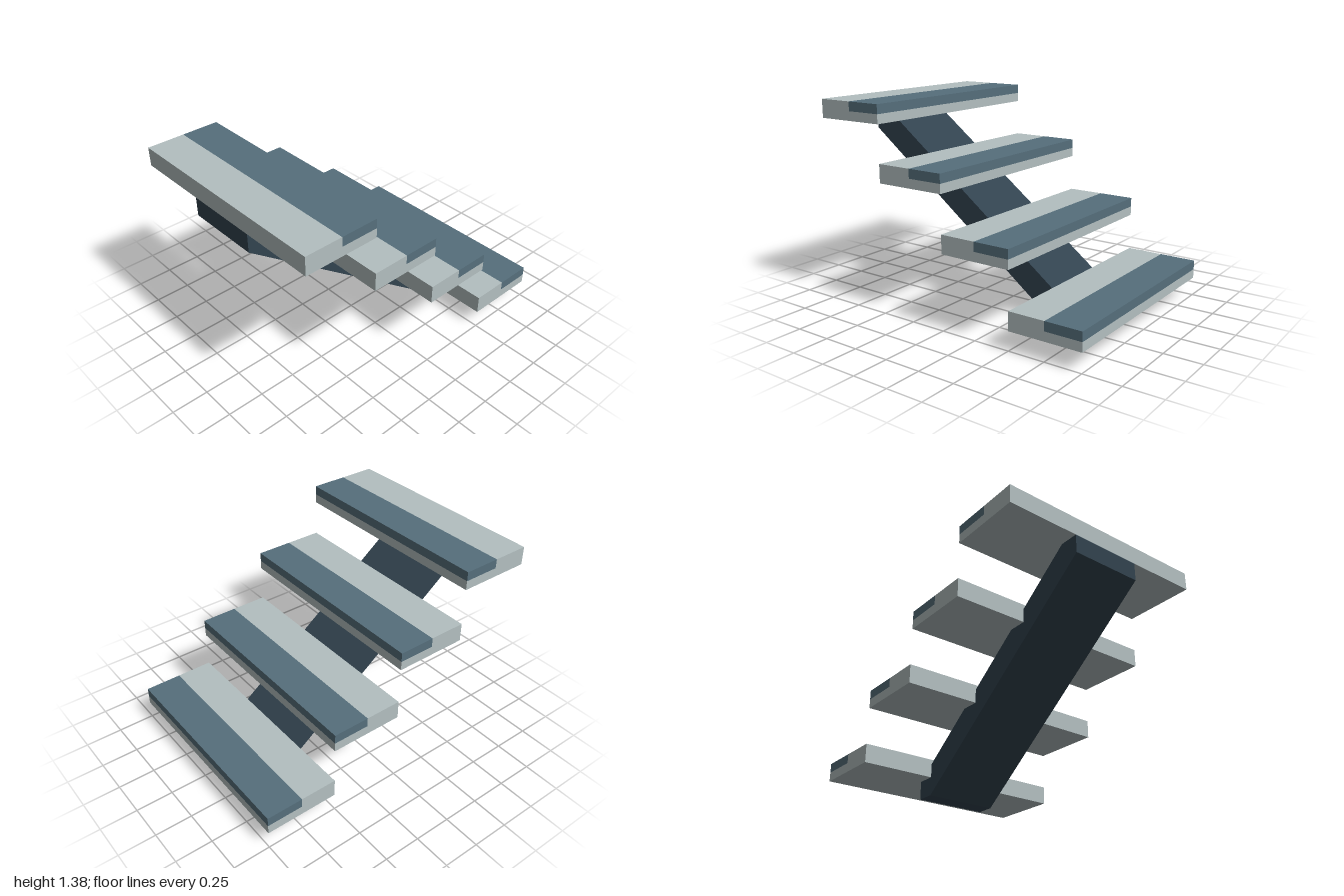
import * as THREE from 'three';

const RUN = 0.5, RISE = 0.375, THICK = 0.125, WIDTH = 1.5, STEPS = 4;

const stone = new THREE.MeshStandardMaterial({ color: 0xb3bfc0 });
const slate = new THREE.MeshStandardMaterial({ color: 0x566f7c });
const steel = new THREE.MeshStandardMaterial({ color: 0x32434f });

// Extrudes a side profile of [z, y] points across x, centred on x = 0
function across(points, width) {
  const shape = new THREE.Shape(points.map(([z, y]) => new THREE.Vector2(z, y)));
  const geometry = new THREE.ExtrudeGeometry(shape, { depth: width, bevelEnabled: false });
  return geometry.translate(0, 0, -width / 2).rotateY(-Math.PI / 2);
}

function part(name, geometry, material) {
  const mesh = new THREE.Mesh(geometry, material);
  mesh.name = name;
  return mesh;
}

export function createModel() {
  const model = new THREE.Group();
  model.name = 'floatingStairs';

  // Sloping central beam with a flat foot and a plumb-cut top end
  const beam = [[-0.625, 0], [-0.5, 0], [1, 1.125], [1, 1.25], [0.875, 1.25], [-0.625, 0.125]];
  model.add(part('beam', across(beam, 0.5), steel));

  // Tread slab, rebated along its back upper edge to hold the nosing
  const half = RUN / 2, mid = THICK / 2;
  const slab = across([[0, 0], [RUN, 0], [RUN, THICK], [half, THICK], [half, mid], [0, mid]], WIDTH);
  const nosing = new THREE.BoxGeometry(WIDTH, mid, half).translate(0, mid * 1.5, half / 2);

  for (let i = 0; i < STEPS; i++) {
    const step = new THREE.Group();
    step.name = `step${i + 1}`;
    step.add(part('treadSlab', slab, stone), part('nosing', nosing, slate));
    step.position.set(0, THICK + i * RISE, -1 + i * RUN);
    model.add(step);
  }
  return model;
}
